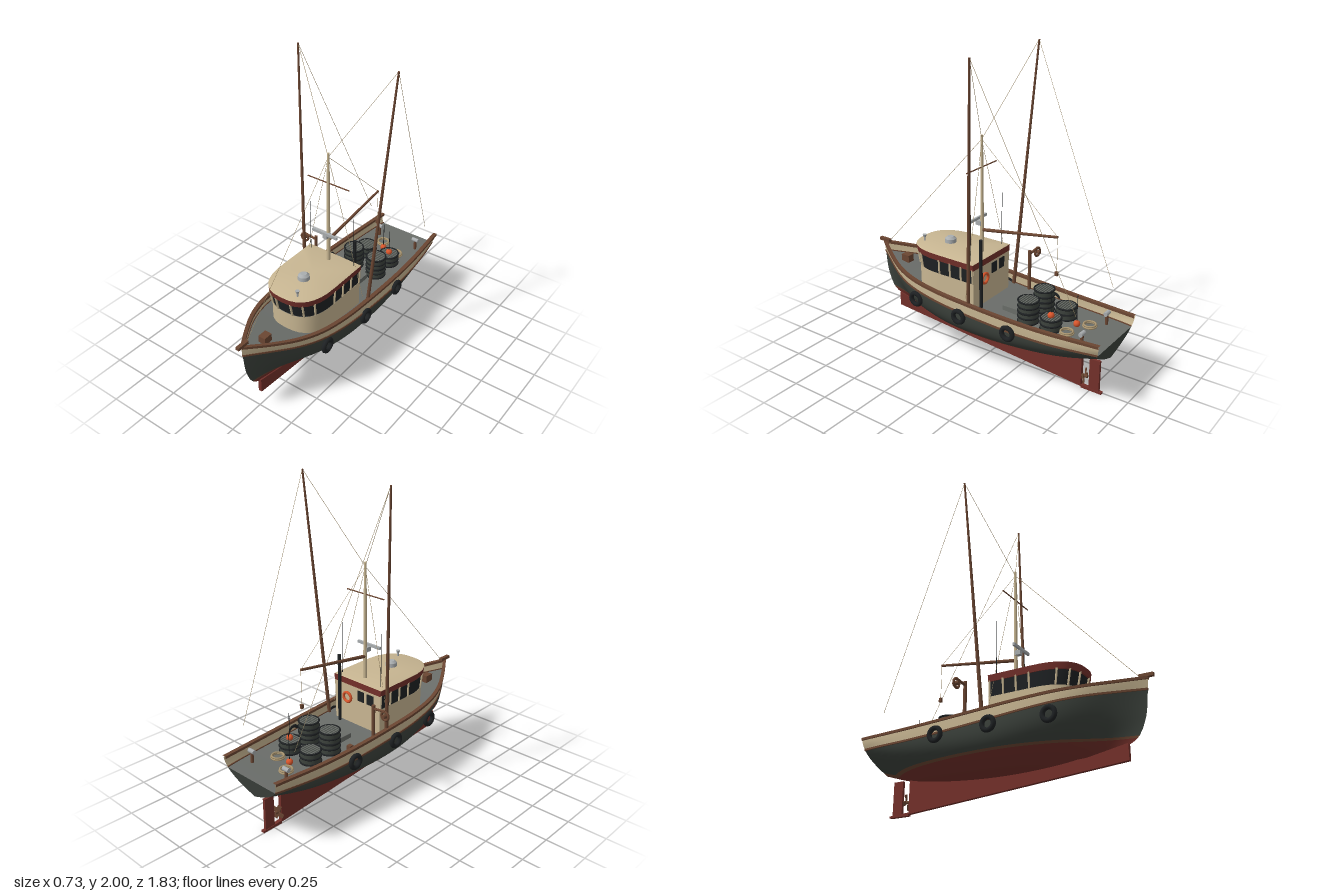
import * as THREE from 'three';
import { toCreasedNormals } from 'three/addons/utils/BufferGeometryUtils.js';

const flat = (name, color, side = THREE.FrontSide) => {
  const m = new THREE.MeshStandardMaterial({ color, side });
  m.name = name;
  return m;
};
const cream = flat('cream paint', 0xc8b692, THREE.DoubleSide);
const green = flat('dark green paint', 0x3d433d);
const red = flat('oxide red paint', 0x73302a);
const wood = flat('brown wood', 0x6b4632);
const grey = flat('deck grey', 0x6a6d69);
const dark = flat('black rubber and glass', 0x1e2123);
const metal = flat('pale metal', 0xa9adaf);
const orange = flat('safety orange', 0xd8552b);
const rope = flat('rope tan', 0xa8946f);

// Smooth function through a few [position, value] pairs
const through = (pairs) => {
  const f = new THREE.CubicInterpolant(pairs.map(p => p[0]), pairs.map(p => p[1]), 1, new Float32Array(1));
  return (x) => f.evaluate(x)[0];
};
const sheerWidth = through([[-.91, .225], [-.5, .26], [0, .272], [.25, .265], [.45, .235], [.6, .18], [.75, .092], [.885, 0]]);
const sheerY = through([[-.91, .455], [-.5, .452], [0, .472], [.5, .508], [.7, .535], [.885, .57]]);
const deckY = through([[-.91, .39], [-.5, .38], [0, .402], [.45, .445], [.885, .505]]);
const keelY = through([[-.91, .27], [-.7, .212], [-.5, .18], [0, .145], [.45, .155], [.7, .18], [.885, .2]]);
const fullness = through([[-.91, 2.4], [-.5, 3.6], [0, 4.2], [.4, 3], [.7, 1.6], [.885, 1.15]]);
const stemZ = through([[0, .72], [.08, .785], [.32, .845], [.8, .877], [1, .885]]);
const bootY = (z) => Math.max(.243, keelY(z) + .002);
const stripeY = (z) => bootY(z) + .012;

export function createModel() {
  const model = new THREE.Group();
  model.name = 'fishingBoat';
  const boat = new THREE.Group();
  boat.name = 'boat';
  boat.position.x = .01;
  model.add(boat);

  const add = (name, geo, mat, x = 0, y = 0, z = 0) => {
    const m = new THREE.Mesh(geo, mat);
    m.name = name;
    m.position.set(x, y, z);
    boat.add(m);
    return m;
  };
  const box = (name, mat, w, h, d, x, y, z) => add(name, new THREE.BoxGeometry(w, h, d), mat, x, y, z);
  const cyl = (name, mat, r0, r1, h, x, y, z, n = 20) => add(name, new THREE.CylinderGeometry(r1, r0, h, n), mat, x, y, z);
  const ring = (name, mat, R, r, x, y, z) => add(name, new THREE.TorusGeometry(R, r, 8, 24), mat, x, y, z);
  // Round bar from a to b
  const rod = (name, mat, a, b, r0, r1 = r0, n = 10) => {
    const p = new THREE.Vector3(...a), d = new THREE.Vector3(...b).sub(p);
    const m = cyl(name, mat, r0, r1, d.length(), 0, 0, 0, n);
    m.position.copy(p).addScaledVector(d, .5);
    m.quaternion.setFromUnitVectors(new THREE.Vector3(0, 1, 0), d.normalize());
    return m;
  };
  const line = (a, b) => rod('riggingLine', rope, a, b, .0013, .0013, 4);
  // Skin over rows of points
  const loft = (name, rows, mat, closed = false, crease = .6) => {
    const n = rows[0].length, idx = [];
    for (let i = 0; i < rows.length - 1; i++)
      for (let j = 0; j < (closed ? n : n - 1); j++) {
        const a = i * n + j, b = i * n + (j + 1) % n;
        idx.push(a, b, b + n, a, b + n, a + n);
      }
    const g = new THREE.BufferGeometry();
    g.setAttribute('position', new THREE.Float32BufferAttribute(rows.flat(2), 3));
    g.setIndex(idx);
    return add(name, toCreasedNormals(g, crease), mat);
  };

  // Hull point at station u (0 stern, 1 bow) and height y
  const hullPoint = (u, y, side) => {
    const z = -.91 + u * 1.795, k = keelY(z);
    const t = THREE.MathUtils.clamp((y - k) / (sheerY(z) - k), 0, 1);
    const x = sheerWidth(z) * (1 - Math.pow(1 - t, fullness(z)));
    return [side * Math.max(0, x), y, THREE.MathUtils.lerp(-.875 - .035 * t, stemZ(t), u)];
  };
  const N = 44;
  const stations = Array.from({ length: N + 1 }, (_, i) => 1 - Math.pow(1 - i / N, 1.3));
  const zAt = (u) => -.91 + u * 1.795;
  // Row from starboard stern round the bow to port stern
  const hullRow = (yOf, dx = 0, dy = 0) => {
    const half = (s) => stations.map(u => {
      const p = hullPoint(u, yOf(zAt(u)), s);
      return [s * Math.max(0, Math.abs(p[0]) + dx), p[1] + dy, p[2]];
    });
    return [...half(-1), ...half(1).reverse()];
  };
  const band = (name, mat, lo, hi, steps, power = 1) => {
    const rows = [];
    for (let i = 0; i <= steps; i++) {
      const f = Math.pow(i / steps, power);
      rows.push(hullRow(z => THREE.MathUtils.lerp(lo(z), hi(z), f)));
    }
    loft(name, rows, mat);
  };
  band('hullBottom', red, keelY, bootY, 8, 1.7);
  band('bootStripe', wood, bootY, stripeY, 1);
  band('hullSides', green, stripeY, deckY, 8);
  band('bulwark', cream, deckY, sheerY, 3);
  const rail = (name, yOf, out, inn, h) => loft(name,
    [[out, -h], [out, h], [inn, h], [inn, -h], [out, -h]].map(([dx, dy]) => hullRow(yOf, dx, dy)), wood);
  rail('capRail', sheerY, .008, -.018, .008);
  rail('rubRail', deckY, .006, -.004, .006);
  const transom = [];
  for (let i = 0; i <= 10; i++) {
    const y = THREE.MathUtils.lerp(keelY(-.91), deckY(-.91), i / 10);
    transom.push([hullPoint(0, y, 1), hullPoint(0, y, -1)]);
  }
  loft('transom', transom, green);
  loft('deck', [-1, 1].map(s => stations.map(u => hullPoint(u, deckY(zAt(u)), s))), grey);

  // Keel, rudder and propeller
  const keel = new THREE.Shape([[.75, .22], [.75, .125], [-.69, .01], [-.69, 0], [-.83, 0], [-.83, .012], [-.69, .02],
    [-.69, .225], [-.4, .18], [0, .16], [.5, .175]].map(p => new THREE.Vector2(...p)));
  const keelGeo = new THREE.ExtrudeGeometry(keel, { depth: .024, bevelEnabled: false });
  keelGeo.translate(0, 0, -.012).rotateY(-Math.PI / 2);
  add('keel', keelGeo, red);
  box('rudder', red, .018, .21, .068, 0, .115, -.777);
  rod('propellerShaft', wood, [0, .085, -.68], [0, .085, -.73], .01);
  for (let i = 0; i < 4; i++) {
    const a = i * Math.PI / 2 + .4;
    box('propellerBlade', wood, .026, .036, .008, -Math.sin(a) * .03, .085 + Math.cos(a) * .03, -.71).rotation.set(0, .4, a);
  }

  // Stem head, foredeck bitt and hatch
  box('stemHead', wood, .024, .02, .085, 0, .585, .875);
  box('foredeckBitt', wood, .05, .05, .062, 0, .5, .68);
  box('hatch', grey, .145, .035, .128, 0, .405, -.215);

  // Deckhouse
  const outline = (w, front, y, back = -.01) => {
    const pts = [];
    for (let i = 0; i <= 16; i++) {
      const a = Math.PI * (1 - i / 16), c = Math.cos(a), q = 2 / 2.6;
      pts.push([w * Math.sign(c) * Math.pow(Math.abs(c), q), y, .25 + (front - .25) * Math.pow(Math.max(0, Math.sin(a)), q)]);
    }
    const side = (s) => [back, .08, .165].map(z => [s * w, y, z]);
    return [...side(-1), ...pts, ...side(1).reverse()];
  };
  const centre = (y) => outline(0, .25, y).map(() => [0, y, .22]);
  const sill = outline(.19, .492, .572), head = outline(.194, .512, .668);
  loft('houseWall', [outline(.19, .49, .37), sill], cream, true);
  loft('windowBand', [outline(.187, .487, .57), outline(.191, .507, .67)], dark, true);
  for (const i of [0, 1, 2, 3, 6, 8, 10, 12, 14, 16, 19, 20, 21, 22]) rod('windowPost', cream, sill[i], head[i], .007, .007, 6);
  box('aftWall', cream, .38, .3, .008, 0, .52, -.012);
  for (const x of [-.11, -.03]) box('aftWindow', dark, .055, .07, .006, x, .61, -.016);
  loft('roofRim', [centre(.662), outline(.196, .516, .662, -.018), outline(.2, .522, .703, -.018)], red, true);
  loft('roof', [outline(.2, .522, .703, -.018), outline(.185, .505, .709, -.005), centre(.712)], cream, true, 1);
  ring('lifeRing', orange, .032, .009, .08, .575, -.025);
  cyl('radarDome', metal, .038, .036, .028, 0, .722, .305, 24);
  cyl('radarDomeTop', metal, .036, .02, .014, 0, .743, .305, 24);
  cyl('hornPost', metal, .006, .006, .03, .075, .722, .46);
  cyl('hornHead', metal, .009, .013, .016, .075, .742, .46);
  cyl('exhaustPipe', dark, .011, .011, .46, .137, .625, -.035);

  // Mast, boom and rigging
  const mastTop = [0, 1.44, .055], boomEnd = [0, .94, -.49];
  rod('mast', cream, [0, .7, .055], [0, 1.467, .055], .013, .008, 14);
  rod('crosstree', wood, [-.152, 1.265, .055], [.152, 1.265, .055], .004);
  box('radarBar', metal, .185, .018, .014, 0, .922, .092);
  box('radarBracket', metal, .03, .03, .04, 0, .9, .075);
  rod('boom', wood, [0, .857, .045], boomEnd, .011, .008);
  line(mastTop, boomEnd);
  line(mastTop, [0, .59, .83]);
  line(boomEnd, [0, .71, -.49]);
  box('hoistBlock', wood, .016, .026, .018, 0, .706, -.49);
  for (const s of [-1, 1]) {
    const tip = [s * .345, 2, -.117];
    rod('outriggerPole', wood, [s * .25, .41, -.02], tip, .012, .006);
    line(tip, mastTop);
    line(tip, [s * .222, .6, -.755]);
    line(mastTop, [s * .235, .49, .01]);
    rod('whipAntenna', dark, [s * .165, .7, .02], [s * .165, 1.06, .02], .002, .0015, 5);

    // Tyre fenders
    for (const [z, x] of [[.4, .25], [.035, .281], [-.325, .277]])
      ring('tyreFender', dark, .038, .015, s * x, .375, z).rotation.y = Math.PI / 2;

    // Mooring bitts
    rod('mooringBar', metal, [s * .15 - .023, .46, -.76], [s * .15 + .023, .46, -.76], .014);
    cyl('mooringPost', wood, .01, .01, .08, s * .15, .42, -.76);
  }

  // Line hauler on the starboard rail
  rod('haulerPost', wood, [-.25, .4, -.14], [-.25, .672, -.14], .011);
  rod('haulerArm', wood, [-.25, .648, -.14], [-.345, .66, -.14], .008);
  ring('haulerWheel', wood, .027, .008, -.342, .63, -.14);
  cyl('haulerHub', wood, .013, .013, .04, -.342, .63, -.14).rotation.x = Math.PI / 2;
  box('deckWinch', wood, .028, .05, .03, -.197, .415, -.29);

  // Round pots on the aft deck, the forward pair stacked
  const pot = (x, y, z) => {
    cyl('potBody', green, .063, .063, .078, x, y + .04, z, 24);
    for (const h of [.006, .042, .078]) ring('potHoop', dark, .063, .006, x, y + h, z).rotation.x = Math.PI / 2;
    for (let i = -3; i <= 3; i++)
      box('potSlat', grey, 2 * Math.sqrt(.06 ** 2 - (i * .016) ** 2), .004, .006, x, y + .08, z + i * .016);
  };
  for (const x of [-.09, .09]) {
    pot(x, .384, -.514);
    pot(x, .384, -.354);
    pot(x, .452, -.354);
  }

  // Marker buoys and rope coils
  for (const [x, y, z, top] of [[.09, .475, -.514, .64], [-.027, .402, -.625, .59]]) {
    add('markerBuoy', new THREE.SphereGeometry(.021, 16, 12), orange, x, y, z);
    rod('markerStaff', dark, [x, y, z], [x, top, z], .0025, .002, 6);
  }
  for (const [x, z] of [[-.07, -.69], [.082, -.62]])
    for (let i = 0; i < 2; i++) ring('ropeCoil', rope, .04 - i * .003, .006, x, .39 + i * .01, z).rotation.x = Math.PI / 2;

  return model;
}
